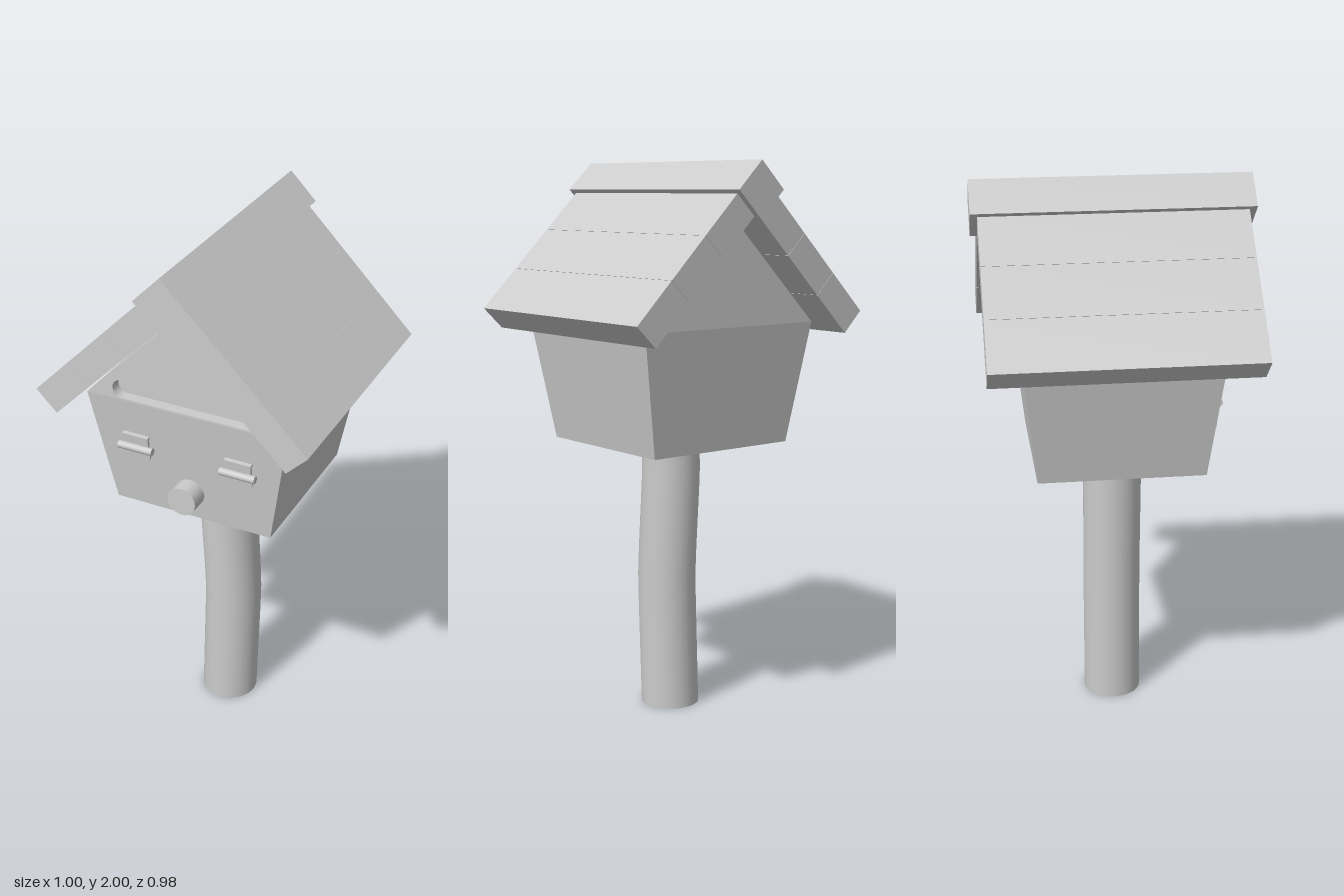
import * as THREE from 'three';

const mat = new THREE.MeshStandardMaterial({ color: 0xcccccc });
const R = Math.SQRT2;

function add(parent, name, geo, x = 0, y = 0, z = 0) {
  const m = new THREE.Mesh(geo, mat);
  m.name = name;
  m.position.set(x, y, z);
  parent.add(m);
  return m;
}

// Move every vertex by a rule
function reshape(geo, rule) {
  const p = geo.attributes.position;
  const v = new THREE.Vector3();
  for (let i = 0; i < p.count; i++) {
    rule(v.fromBufferAttribute(p, i));
    p.setXYZ(i, v.x, v.y, v.z);
  }
  geo.computeVertexNormals();
  return geo;
}

function gableShape() {
  return new THREE.Shape([[-0.375, 1.435], [0.375, 1.435], [0, 1.81]].map(([x, y]) => new THREE.Vector2(x, y)));
}

export function createModel() {
  const model = new THREE.Group();
  model.name = 'birdhouse';

  // Slightly crooked post: centre line shifts sideways with height
  const post = new THREE.CylinderGeometry(0.107, 0.107, 1, 32, 20);
  post.translate(0, 0.5, 0);
  const bend = [[0, 0], [0.4, 0.013], [0.5, 0.015], [0.6, 0.011], [0.88, -0.005], [1, -0.002]];
  const pos = post.attributes.position;
  for (let i = 0; i < pos.count; i++) {
    const y = pos.getY(i);
    const k = Math.max(1, bend.findIndex(b => b[0] >= y - 1e-6));
    const [a, b] = [bend[k - 1], bend[k]];
    pos.setX(i, pos.getX(i) + THREE.MathUtils.mapLinear(y, a[0], b[0], a[1], b[1]));
  }
  add(model, 'post', post);

  // Tapered box of the house
  add(model, 'houseBox', reshape(new THREE.BoxGeometry(2, 0.435, 2), v => {
    const top = v.y > 0;
    v.x *= top ? 0.375 : 0.3;
    v.z *= top ? 0.345 : 0.297;
    v.y += 1.2175;
  }));

  // Gable block, with a slotted slab in front of it
  add(model, 'gable', new THREE.ExtrudeGeometry(gableShape(), { depth: 0.65, bevelEnabled: false }), 0, 0, -0.345);
  const front = gableShape();
  const slot = new THREE.Path();
  slot.absarc(-0.238, 1.477, 0.035, Math.PI / 2, Math.PI * 1.5, false);
  slot.absarc(0.238, 1.477, 0.035, -Math.PI / 2, Math.PI / 2, false);
  slot.closePath();
  front.holes.push(slot);
  add(model, 'slottedGable', new THREE.ExtrudeGeometry(front, { depth: 0.04, bevelEnabled: false, curveSegments: 12 }), 0, 0, 0.305);

  // Three roof boards on each slope
  for (const s of [1, -1]) {
    for (let i = 0; i < 3; i++) {
      const x = 0.43 - i * 0.14;
      const board = add(model, 'roofBoard', new THREE.BoxGeometry(0.14 * R - 0.001, 0.075 * R, 0.93),
        s * (x - 0.0375), 1.975 - x - 0.0375, 0);
      board.rotation.z = -s * Math.PI / 4;
    }
  }

  // Square ridge beam set on its corner
  add(model, 'ridgeBeam', new THREE.BoxGeometry(0.098 * R, 0.098 * R, 0.98), 0, 1.902, 0).rotation.z = Math.PI / 4;

  // Perch knob
  const knob = new THREE.CylinderGeometry(0.053, 0.053, 0.1, 24);
  knob.rotateX(Math.PI / 2);
  add(model, 'perch', knob, 0, 1.11, 0.33);

  // Two small hinges lying on the sloping front wall
  for (const s of [1, -1]) {
    const hinge = new THREE.Group();
    hinge.name = 'hinge';
    hinge.position.set(s * 0.195, 1.255, 0.325);
    hinge.rotation.x = Math.atan(0.048 / 0.435);
    add(hinge, 'hingePlate', new THREE.BoxGeometry(0.094, 0.05, 0.014), 0, 0.024, 0.003);
    add(hinge, 'hingeLip', new THREE.BoxGeometry(0.1, 0.01, 0.022), 0, 0.046, 0.004);
    const pin = new THREE.CylinderGeometry(0.014, 0.014, 0.132, 16);
    pin.rotateZ(Math.PI / 2);
    add(hinge, 'hingePin', pin, 0, 0, 0.016);
    const tab = new THREE.Shape();
    tab.moveTo(0.05, 0);
    tab.lineTo(-0.05, 0);
    tab.lineTo(-0.05, -0.03);
    tab.quadraticCurveTo(-0.045, -0.065, -0.015, -0.066);
    tab.lineTo(0.015, -0.066);
    tab.quadraticCurveTo(0.045, -0.065, 0.05, -0.03);
    add(hinge, 'hingeTab', new THREE.ExtrudeGeometry(tab, { depth: 0.014, bevelEnabled: false }), 0, 0, -0.005);
    model.add(hinge);
  }
  return model;
}
